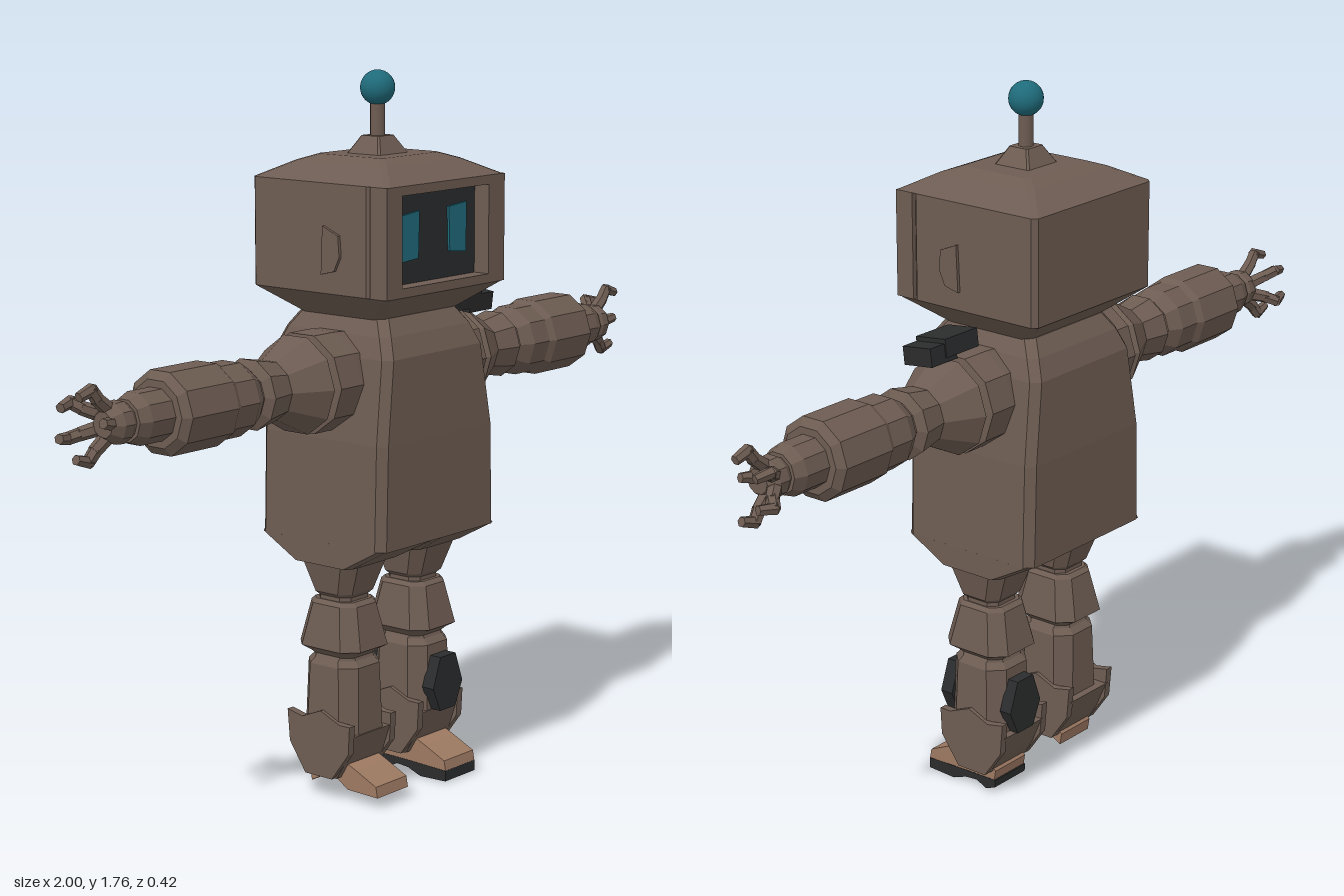
import * as THREE from 'three';

export function createModel() {
  const robot = new THREE.Group();
  robot.name = 'robot';
  const material = (name, color, side = THREE.FrontSide) => {
    const m = new THREE.MeshStandardMaterial({ color, side });
    m.name = name;
    return m;
  };
  const brown = material('brown shell', 0x6d5c52);
  const dark = material('dark panel', 0x2b2c2d);
  const teal = material('teal glow', 0x1f6b7b);
  const tan = material('tan shoe', 0x9d7962);

  function add(name, geometry, mat, x = 0, y = 0, z = 0, smooth = false) {
    let g = geometry;
    if (!smooth) {
      if (g.index) g = g.toNonIndexed();
      g.computeVertexNormals();
    }
    const mesh = new THREE.Mesh(g, mat);
    mesh.name = name;
    mesh.position.set(x, y, z);
    robot.add(mesh);
    return mesh;
  }

  // Stack of chamfered rectangles: [y, halfWidth, halfDepth, chamfer, offsetX, offsetZ]
  function loft(sections) {
    const pos = [], idx = [], n = 8;
    for (const [y, a, b, c, ox = 0, oz = 0] of sections) {
      const ring = [[a, c - b], [a, b - c], [a - c, b], [c - a, b], [-a, b - c], [-a, c - b], [c - a, -b], [a - c, -b]];
      for (const [u, v] of ring) pos.push(u + ox, y, oz - v);
    }
    for (let s = 0; s < sections.length - 1; s++) {
      for (let i = 0; i < n; i++) {
        const p = s * n + i, q = s * n + (i + 1) % n;
        idx.push(p, q, q + n, p, q + n, p + n);
      }
    }
    const top = (sections.length - 1) * n;
    for (let i = 1; i < n - 1; i++) idx.push(0, i + 1, i, top, top + i, top + i + 1);
    const g = new THREE.BufferGeometry();
    g.setAttribute('position', new THREE.Float32BufferAttribute(pos, 3));
    g.setIndex(idx);
    return g;
  }

  const shapeOf = (pts) => new THREE.Shape(pts.map(([x, y]) => new THREE.Vector2(x, y)));
  const rect = (x0, y0, x1, y1) => [[x0, y0], [x1, y0], [x1, y1], [x0, y1]];
  const plate = (pts, depth, hole) => {
    const shape = shapeOf(pts);
    if (hole) shape.holes.push(shapeOf(hole));
    return new THREE.ExtrudeGeometry(shape, { depth, bevelEnabled: false });
  };
  // Side profile in (z, y), extruded across x and centred on it
  const sidePlate = (pts, width) => plate(pts, width).translate(0, 0, -width / 2).rotateY(-Math.PI / 2);
  const lathe = (pts, sides) => new THREE.LatheGeometry(pts.map(([r, y]) => new THREE.Vector2(r, y)), sides);

  // Tapered rod between two points
  function rod(name, from, to, r0, r1, mat) {
    const a = new THREE.Vector3(...from), b = new THREE.Vector3(...to);
    const mesh = add(name, new THREE.CylinderGeometry(r1, r0, a.distanceTo(b), 6), mat);
    mesh.position.copy(a).add(b).multiplyScalar(0.5);
    mesh.quaternion.setFromUnitVectors(new THREE.Vector3(0, 1, 0), b.sub(a).normalize());
  }

  // Head: sloped jaw, box with a recessed screen, sloped crown
  add('jaw', loft([[1.18, 0.14, 0.12, 0.02], [1.25, 0.222, 0.21, 0.012]]), brown);
  add('headShell', loft([[1.25, 0.222, 0.185, 0.012, 0, -0.025], [1.51, 0.222, 0.185, 0.012, 0, -0.025]]), brown);
  add('faceFrame', plate(rect(-0.222, 1.25, 0.222, 1.51), 0.05, rect(-0.165, 1.272, 0.16, 1.488)), brown, 0, 0, 0.16);
  add('crown', loft([[1.51, 0.222, 0.21, 0.012], [1.548, 0.15, 0.14, 0.012], [1.563, 0.11, 0.1, 0.012]]), brown);
  add('screen', new THREE.BoxGeometry(0.325, 0.216, 0.006), dark, -0.002, 1.38, 0.164);
  add('rightEye', plate([[-0.128, 1.325], [-0.062, 1.33], [-0.058, 1.442], [-0.125, 1.435]], 0.006), teal, 0, 0, 0.168);
  add('leftEye', plate([[0.056, 1.335], [0.118, 1.328], [0.12, 1.448], [0.052, 1.442]], 0.006), teal, 0, 0, 0.168);
  for (const s of [-1, 1]) {
    add(s > 0 ? 'leftEarPanel' : 'rightEarPanel',
      sidePlate([[0.015, 1.295], [0.055, 1.305], [0.072, 1.34], [0.068, 1.39], [0.02, 1.41]], 0.014), brown, s * 0.223);
  }

  // Antenna
  add('antennaBase', loft([[1.555, 0.06, 0.056, 0.005], [1.605, 0.03, 0.028, 0.004]]), brown, -0.004);
  add('antennaStem', new THREE.CylinderGeometry(0.018, 0.018, 0.1, 12), brown, -0.004, 1.645, 0, true);
  add('antennaBall', new THREE.SphereGeometry(0.042, 24, 16), teal, -0.004, 1.718, 0, true);

  // Torso with rounded shoulders
  add('torso', loft([
    [0.645, 0.222, 0.193, 0.02], [0.9, 0.215, 0.193, 0.02], [1.1, 0.185, 0.184, 0.02],
    [1.15, 0.168, 0.162, 0.02], [1.19, 0.145, 0.135, 0.02],
  ]), brown);

  for (const s of [-1, 1]) {
    const side = s > 0 ? 'left' : 'right';
    const lx = s * 0.132;

    // Hip wedge and leg segments
    add(side + 'Hip', loft([[0.59, 0.095, 0.09, 0.015, s * 0.127], [0.647, 0.111, 0.193, 0.015, s * 0.111]]), brown);
    add(side + 'Thigh', loft([
      [0.485, 0.052, 0.05, 0.02], [0.505, 0.052, 0.05, 0.02], [0.515, 0.064, 0.06, 0.025], [0.595, 0.082, 0.09, 0.03],
    ]), brown, lx);
    add(side + 'KneeSegment', loft([
      [0.355, 0.055, 0.06, 0.02], [0.368, 0.07, 0.075, 0.03], [0.38, 0.086, 0.096, 0.035], [0.485, 0.066, 0.072, 0.03], [0.495, 0.055, 0.06, 0.02],
    ]), brown, lx);
    add(side + 'Shin', loft([
      [0.16, 0.08, 0.085, 0.035], [0.335, 0.074, 0.08, 0.035], [0.35, 0.064, 0.066, 0.03], [0.365, 0.055, 0.06, 0.02],
    ]), brown, lx);

    // Boot block and the two pointed ankle guards
    add(side + 'Boot', loft([
      [0.058, 0.084, 0.045, 0.01, 0, -0.005], [0.1, 0.086, 0.07, 0.012, 0, -0.005], [0.17, 0.086, 0.097, 0.012, 0, -0.008],
    ]), brown, lx);
    for (const e of [-1, 1]) {
      add(side + 'AnkleGuard', sidePlate([
        [0.035, 0.058], [-0.05, 0.058], [-0.1, 0.13], [-0.107, 0.21], [-0.06, 0.2], [0, 0.225], [0.06, 0.2], [0.092, 0.2], [0.088, 0.13],
      ], 0.02), brown, lx + e * 0.078);
    }

    // Shoe: the left one has a dark sole, the right one is bare and arched
    add(side + 'Shoe', sidePlate([
      [0.155, 0.028], [0.06, 0.03], [0.03, s > 0 ? 0.032 : 0.05], [-0.02, s > 0 ? 0.028 : 0.05], [-0.055, 0.03],
      [-0.06, 0.06], [-0.03, 0.1], [0.05, 0.1], [0.085, 0.085], [0.15, 0.055],
    ], 0.116), tan, lx);
    if (s > 0) {
      add('leftSole', sidePlate([
        [0.155, 0.003], [0.075, 0], [0.035, 0.015], [0, 0.018], [-0.03, 0.004], [-0.058, 0.015],
        [-0.06, 0.035], [0.03, 0.034], [0.155, 0.03],
      ], 0.118), dark, lx);
    }

    // Arm: ten-sided segments turned about the x axis
    const arm = (name, pts) => add(side + name, lathe(pts, 10).rotateZ(-s * Math.PI / 2), brown, 0, 1.04, -0.005);
    arm('ShoulderRing', [[0, 0.14], [0.118, 0.14], [0.123, 0.2], [0.123, 0.275], [0.09, 0.28], [0, 0.28]]);
    arm('UpperArm', [[0, 0.26], [0.09, 0.27], [0.121, 0.297], [0.072, 0.39], [0.086, 0.462], [0.06, 0.475], [0, 0.475]]);
    arm('ElbowJoint', [[0, 0.46], [0.062, 0.46], [0.062, 0.5], [0, 0.5]]);
    arm('ElbowCuff', [[0, 0.48], [0.07, 0.485], [0.09, 0.52], [0.09, 0.6], [0, 0.6]]);
    arm('Forearm', [[0, 0.575], [0.088, 0.58], [0.1, 0.6], [0.1, 0.75], [0.08, 0.765], [0, 0.765]]);
    arm('Wrist', [[0, 0.75], [0.062, 0.76], [0.062, 0.835], [0.05, 0.865], [0, 0.865]]);
    arm('Palm', [[0, 0.855], [0.038, 0.86], [0.05, 0.88], [0.048, 0.905], [0.03, 0.93], [0, 0.93]]);

    // Fingers fan out over the back of the hand and hook forward
    for (const deg of [90, 35, -25, -80]) {
      const a = deg * Math.PI / 180;
      const at = (x, r) => [s * x, 1.04 + r * Math.sin(a), -0.008 - r * Math.cos(a)];
      rod(side + 'FingerBase', at(0.905, 0.028), at(0.945, 0.06), 0.018, 0.016, brown);
      rod(side + 'FingerMiddle', at(0.94, 0.056), at(0.962, 0.085), 0.016, 0.015, brown);
      rod(side + 'FingerTip', at(0.955, 0.083), at(0.998, 0.07), 0.015, 0.012, brown);
    }
    rod(side + 'Thumb', [s * 0.9, 1.04, 0.01], [s * 0.955, 1.05, 0.022], 0.018, 0.012, brown);
  }

  // Dark hexagonal patches on the front and back of the left shin
  const hexagon = [[-0.03, -0.07], [0.03, -0.07], [0.058, -0.008], [0.03, 0.068], [-0.03, 0.068], [-0.058, -0.008]];
  add('leftShinFrontPatch', plate(hexagon, 0.035), dark, 0.134, 0.24, 0.078);
  add('leftShinBackPatch', plate(hexagon, 0.033), dark, 0.134, 0.24, -0.11);

  // Dark stepped pad on the left shoulder
  const inner = add('shoulderPadInner', new THREE.BoxGeometry(0.115, 0.045, 0.09), dark, 0.263, 1.185, 0.02);
  const outer = add('shoulderPadOuter', new THREE.BoxGeometry(0.09, 0.045, 0.085), dark, 0.325, 1.174, 0.02);
  inner.rotation.x = outer.rotation.x = 0.12;

  return robot;
}
